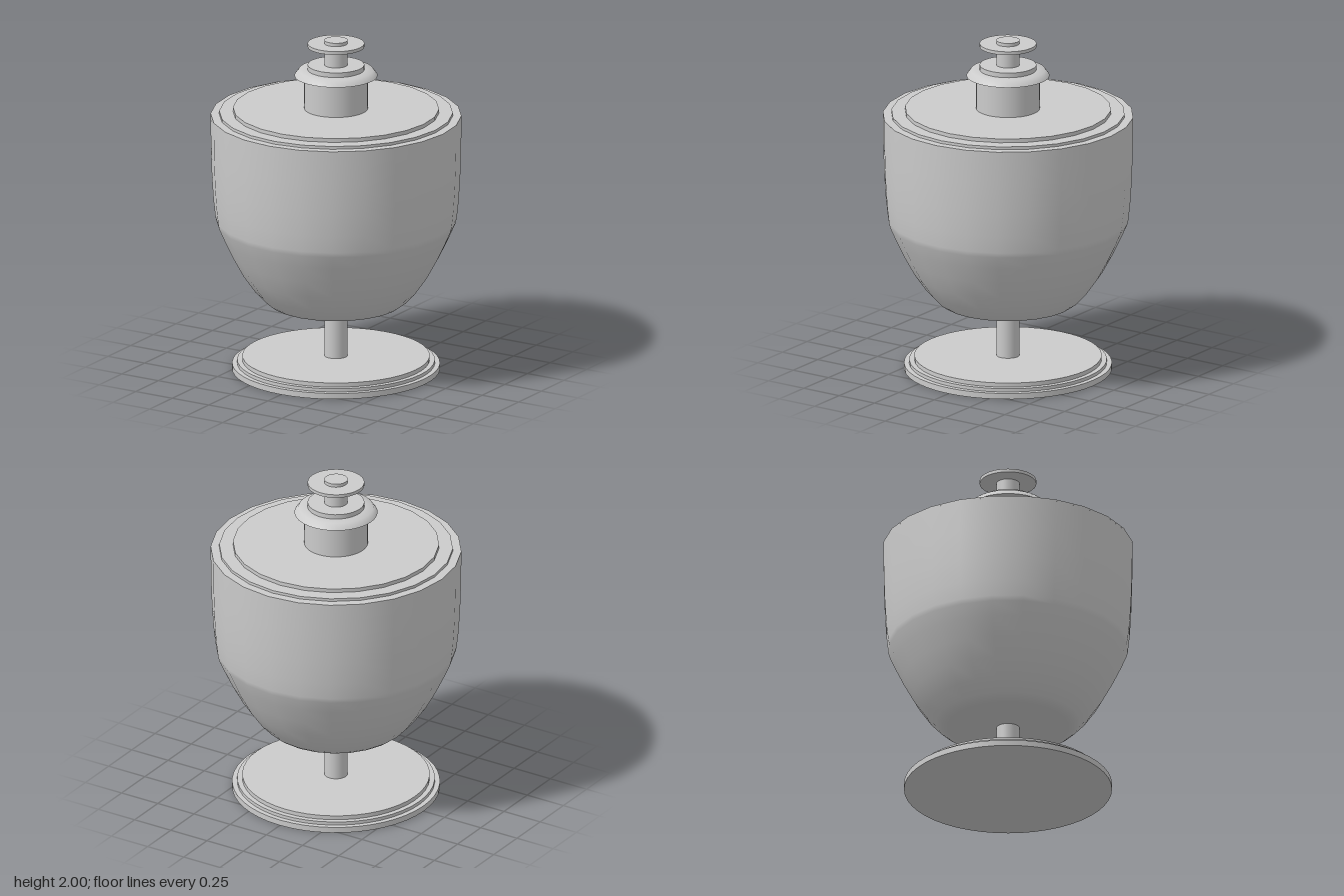
import * as THREE from 'three';

const material = new THREE.MeshStandardMaterial({ color: 0xcccccc });

export function createModel() {
  const group = new THREE.Group();

  function add(name, geometry, y = 0) {
    const mesh = new THREE.Mesh(geometry, material);
    mesh.name = name;
    mesh.position.y = y;
    group.add(mesh);
  }

  // Upright disc or post between two heights
  function disc(name, radius, y0, y1, sides = 48) {
    add(name, new THREE.CylinderGeometry(radius, radius, y1 - y0, sides), (y0 + y1) / 2);
  }

  function lathe(name, points, sides) {
    add(name, new THREE.LatheGeometry(points.map(([r, y]) => new THREE.Vector2(r, y)), sides));
  }

  // Stepped foot and stem
  disc('footLower', 0.605, 0, 0.035);
  disc('footMiddle', 0.575, 0.035, 0.055);
  disc('footUpper', 0.545, 0.055, 0.08);
  disc('stem', 0.068, 0.08, 0.4, 32);

  // Bowl wall, with a slightly bulging underside
  lathe('bowl', [
    [0, 0.39], [0.22, 0.393], [0.36, 0.4], [0.39, 0.408], [0.42, 0.43], [0.48, 0.495],
    [0.55, 0.595], [0.61, 0.705], [0.66, 0.81], [0.695, 0.89], [0.702, 0.92],
    [0.713, 1.02], [0.722, 1.16], [0.728, 1.34], [0.73, 1.545],
  ], 24);

  // Flat rim and stepped lid
  disc('bowlRim', 0.73, 1.535, 1.545, 24);
  disc('lidLower', 0.68, 1.545, 1.562, 24);
  disc('lidUpper', 0.6, 1.562, 1.585, 24);

  // Neck with a flared collar
  disc('neck', 0.185, 1.585, 1.79);
  lathe('collar', [[0.242, 1.785], [0.217, 1.82], [0.16, 1.822]], 48);
  add('collarUnderside', new THREE.CircleGeometry(0.242, 48).rotateX(Math.PI / 2), 1.785);

  // Knob
  disc('knobBase', 0.165, 1.82, 1.85);
  disc('knobPost', 0.068, 1.85, 2, 32);
  disc('knobDisc', 0.165, 1.96, 1.98);

  return group;
}
